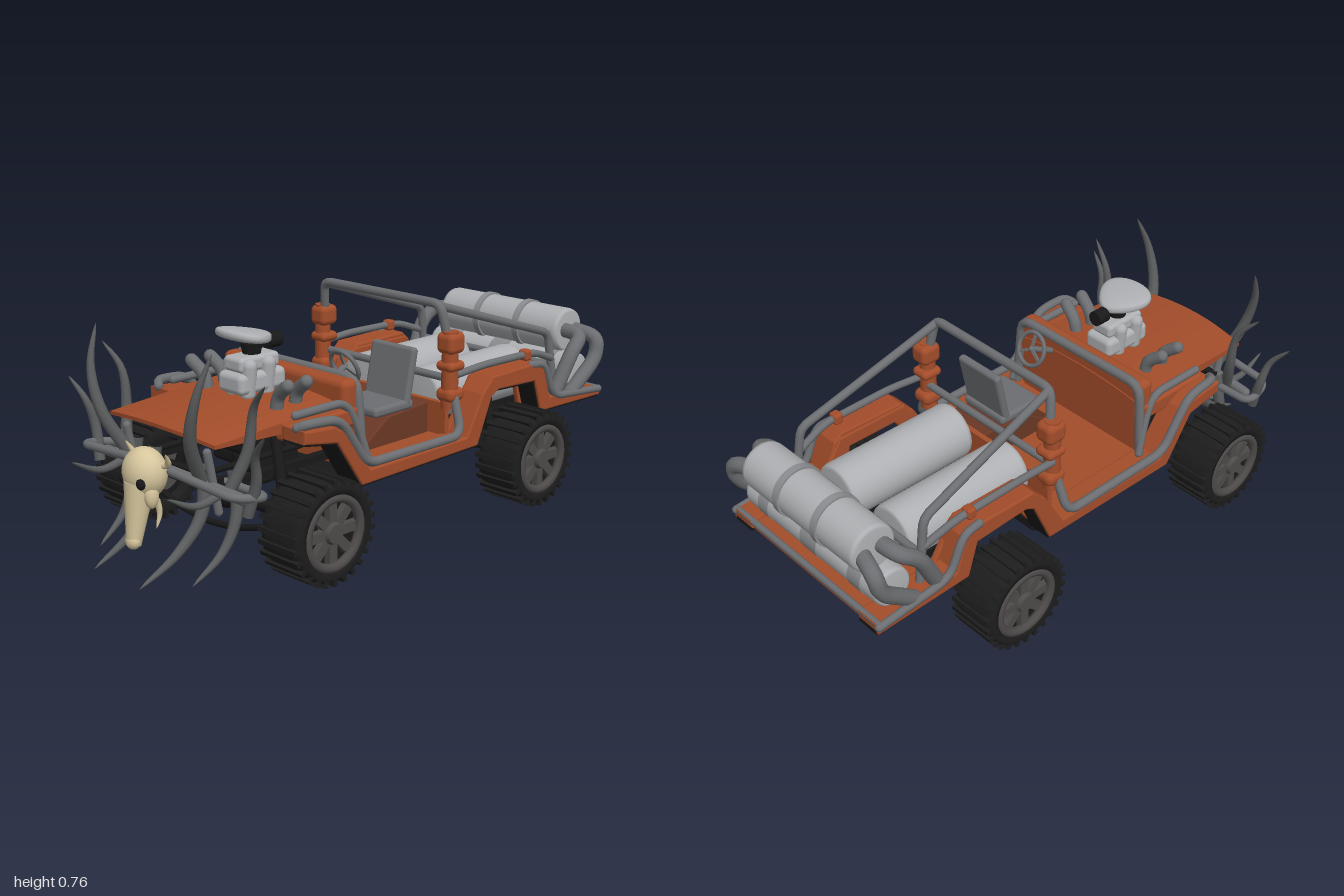
import * as THREE from 'three';
import { RoundedBoxGeometry } from 'three/addons/geometries/RoundedBoxGeometry.js';

const mat = (name, color) => Object.assign(new THREE.MeshStandardMaterial({ color }), { name });
const V = (p) => new THREE.Vector3(...p);

export function createModel() {
  const root = new THREE.Group();
  root.name = 'buggy';
  const paint = mat('rust orange paint', 0xa34d2a), steel = mat('steel tube', 0x6c6e71);
  const tank = mat('light tank metal', 0xaeb0b3), worn = mat('worn tank metal', 0x8b8d90);
  const rubber = mat('tyre rubber', 0x1d1d1d), rim = mat('wheel metal', 0x4e4a4a);
  const black = mat('chassis black', 0x191919), horn = mat('dark tusk', 0x5c5d5e);
  const bone = mat('bone', 0xd6c69d), brown = mat('dark rust', 0x6b3826);
  for (const m of [paint, rubber]) m.side = THREE.DoubleSide;

  const add = (name, geo, m, p = [0, 0, 0], r = [0, 0, 0], parent = root) => {
    const mesh = new THREE.Mesh(geo, m);
    mesh.name = name;
    mesh.position.set(...p);
    mesh.rotation.set(...r);
    parent.add(mesh);
    return mesh;
  };
  const box = (name, size, m, p, r, parent) => add(name, new THREE.BoxGeometry(...size), m, p, r, parent);
  const rbox = (name, size, rad, m, p, r) => add(name, new RoundedBoxGeometry(...size, 3, rad), m, p, r);
  const ball = (name, r, m, p, s = [1, 1, 1]) => add(name, new THREE.SphereGeometry(r, 20, 14), m, p).scale.set(...s);

  // Pipe through points with rounded corners and closed ends
  const pipe = (name, pts, r, m = steel, bend = 0.05) => {
    const P = pts.map(V), path = new THREE.CurvePath();
    let from = P[0];
    for (let i = 1; i < P.length - 1; i++) {
      const toward = (q) => P[i].clone().lerp(q, Math.min(0.45, bend / P[i].distanceTo(q)));
      const a = toward(P[i - 1]), b = toward(P[i + 1]);
      path.add(new THREE.LineCurve3(from, a));
      path.add(new THREE.QuadraticBezierCurve3(a, P[i], b));
      from = b;
    }
    path.add(new THREE.LineCurve3(from, P.at(-1)));
    add(name, new THREE.TubeGeometry(path, P.length * 12, r, 10), m);
    for (const e of [pts[0], pts.at(-1)]) add(name + 'End', new THREE.SphereGeometry(r, 10, 6), m, e);
  };

  // Curved tusk tapering to a point
  const tusk = (name, pts, r, m = horn) => {
    const curve = new THREE.CatmullRomCurve3(pts.map(V)), n = 16, k = 8;
    const geo = new THREE.TubeGeometry(curve, n, r, k), pos = geo.attributes.position, v = new THREE.Vector3();
    for (let i = 0; i < pos.count; i++) {
      const t = Math.floor(i / (k + 1)) / n, c = curve.getPointAt(t);
      v.fromBufferAttribute(pos, i).sub(c).multiplyScalar(Math.sqrt(1 - t) * (0.75 + 0.6 * t * (1 - t))).add(c);
      pos.setXYZ(i, v.x, v.y, v.z);
    }
    add(name, geo, m);
  };

  // Gas tank with slightly rounded ends, axis along y before rotation
  const gasTank = (name, r, len, p, rot) => {
    const h = len / 2, prof = [[0, -h], [r * 0.85, -h], [r * 0.96, -h + 0.006], [r, -h + 0.02],
      [r, h - 0.02], [r * 0.96, h - 0.006], [r * 0.85, h], [0, h]];
    add(name, new THREE.LatheGeometry(prof.map((q) => new THREE.Vector2(...q)), 32), tank, p, rot);
  };

  // Extruded side profile, from z0 inward by depth
  const profile = (name, pts, z0, depth, m) => {
    const shape = new THREE.Shape(pts.map((q) => new THREE.Vector2(...q)));
    add(name, new THREE.ExtrudeGeometry(shape, { depth, bevelEnabled: true, bevelSize: 0.006, bevelThickness: 0.006, bevelSegments: 2 }), m, [0, 0, z0]);
  };

  // Wheels
  const tyreProfile = [[0.118, -0.082], [0.145, -0.087], [0.158, -0.077], [0.163, -0.05], [0.163, 0.05],
    [0.158, 0.077], [0.145, 0.087], [0.118, 0.082], [0.112, 0.05], [0.112, -0.05], [0.118, -0.082]];
  for (const x of [-0.54, 0.48]) for (const s of [1, -1]) {
    const w = new THREE.Group();
    w.name = 'wheel';
    w.position.set(x, 0.172, s * 0.415);
    if (s < 0) w.rotation.y = Math.PI;
    root.add(w);
    add('tyre', new THREE.LatheGeometry(tyreProfile.map((q) => new THREE.Vector2(...q)).reverse(), 40), rubber, [0, 0, 0], [Math.PI / 2, 0, 0], w);
    for (let i = 0; i < 26; i++) {
      const a = i / 26 * Math.PI * 2;
      box('treadBlock', [0.016, 0.022, 0.165], rubber, [Math.sin(a) * 0.161, Math.cos(a) * 0.161, 0], [0, 0, -a], w);
    }
    add('rimDisc', new THREE.CylinderGeometry(0.114, 0.114, 0.1, 32), black, [0, 0, 0], [Math.PI / 2, 0, 0], w);
    add('rimRing', new THREE.TorusGeometry(0.112, 0.016, 8, 36), rim, [0, 0, 0.073], [0, 0, 0], w);
    add('innerHub', new THREE.CylinderGeometry(0.09, 0.07, 0.03, 24), rim, [0, 0, -0.06], [Math.PI / 2, 0, 0], w);
    add('hub', new THREE.CylinderGeometry(0.03, 0.05, 0.04, 16), rim, [0, 0, 0.066], [Math.PI / 2, 0, 0], w);
    for (let i = 0; i < 8; i++) {
      const a = i / 8 * Math.PI * 2;
      box('spoke', [0.032, 0.095, 0.025], rim, [Math.sin(a) * 0.065, Math.cos(a) * 0.065, 0.06], [0, 0, -a], w);
    }
  }

  // Hood: crowned wedge, narrower at the nose
  const hoodGeo = new THREE.BoxGeometry(0.6, 1, 0.56, 12, 1, 12), hp = hoodGeo.attributes.position;
  for (let i = 0; i < hp.count; i++) {
    const t = hp.getX(i) / 0.6 + 0.5, z = hp.getZ(i) * (0.93 + 0.07 * t), u = z / 0.28;
    const top = 0.478 + 0.038 * t - 0.022 * u * u;
    hp.setXYZ(i, -0.83 + 0.6 * t + 0.025 * u * u * (1 - t), hp.getY(i) > 0 ? top : top - 0.012 - 0.05 * t, z);
  }
  hoodGeo.computeVertexNormals();
  add('hood', hoodGeo, paint);
  rbox('cowl', [0.07, 0.13, 0.6], 0.025, paint, [-0.27, 0.5, 0]);
  box('firewall', [0.015, 0.24, 0.58], paint, [-0.25, 0.39, 0]);

  // Cabin floor, seat plinth and chassis
  box('floor', [0.47, 0.02, 0.6], paint, [-0.02, 0.27, 0]);
  profile('seatPlinth', [[-0.16, 0.28], [-0.02, 0.37], [0.17, 0.385], [0.17, 0.28]], 0.04, 0.18, brown);
  box('rearBulkhead', [0.02, 0.13, 0.6], paint, [0.19, 0.33, 0]);
  rbox('bellyPan', [0.62, 0.06, 0.58], 0.02, black, [-0.06, 0.22, 0]);
  for (const x of [-0.22, 0, 0.14]) rbox('bellyPlate', [0.18, 0.05, 0.4], 0.02, black, [x, 0.192, 0]);
  rbox('engineBlock', [0.15, 0.15, 0.2], 0.02, black, [-0.44, 0.38, 0]);
  rbox('gearbox', [0.2, 0.08, 0.14], 0.03, black, [-0.38, 0.27, 0]);
  box('rearSkid', [0.26, 0.03, 0.46], black, [0.46, 0.275, 0]);
  box('rearSkidCover', [0.1, 0.008, 0.12], brown, [0.41, 0.294, 0]);

  // Axles, differentials and suspension
  for (const x of [-0.54, 0.48]) {
    pipe('axle', [[x, 0.18, -0.36], [x, 0.18, 0.36]], 0.022, black);
    ball('differential', 0.06, black, [x, 0.185, 0], [1.1, 0.9, 1]);
    const o = x + (x < 0 ? -0.09 : 0.09);
    pipe('swayBar', [[o, 0.165, -0.3], [o, 0.12, -0.14], [o, 0.105, 0], [o, 0.12, 0.14], [o, 0.165, 0.3]], 0.011, black);
  }
  pipe('driveShaft', [[-0.54, 0.19, 0], [0.48, 0.19, 0]], 0.016, black);

  const bandTop = [[-0.55, 0.465], [-0.43, 0.455], [-0.38, 0.43], [-0.27, 0.28], [0.21, 0.28], [0.29, 0.42], [0.34, 0.47],
    [0.59, 0.475], [0.62, 0.45], [0.66, 0.335], [0.97, 0.315]];
  const bandBottom = [[0.97, 0.292], [0.62, 0.3], [0.58, 0.42], [0.37, 0.43], [0.33, 0.41], [0.26, 0.25], [-0.3, 0.245],
    [-0.41, 0.41], [-0.55, 0.435]];
  const linerTop = bandBottom.map(([x, y]) => [x, y - 0.004]);
  const linerBottom = bandBottom.map(([x, y]) => [x, y - 0.008]).reverse();

  for (const s of [1, -1]) {
    // Body sides and fenders with dark undersides
    profile('sidePanel', bandTop.concat(bandBottom), s > 0 ? 0.285 : -0.375, 0.09, paint);
    profile('sideLiner', linerTop.concat(linerBottom), s > 0 ? 0.285 : -0.367, 0.082, black);
    rbox('fenderShelf', [0.3, 0.06, 0.07], 0.012, paint, [-0.4, 0.445, s * 0.275]);
    profile('rearInnerWall', [[0.2, 0.28], [0.33, 0.46], [0.6, 0.46], [0.7, 0.31], [0.6, 0.31], [0.57, 0.42], [0.37, 0.42], [0.27, 0.27]], s * 0.285 - 0.005, 0.01, paint);
    box('frontChassisRail', [0.5, 0.025, 0.03], black, [-0.51, 0.3, s * 0.2]);
    box('rearChassisRail', [0.52, 0.03, 0.03], black, [0.47, 0.295, s * 0.2]);
    pipe('lowerFrontRail', [[-0.76, 0.335, s * 0.15], [-0.36, 0.335, s * 0.15]], 0.01, black);
    pipe('rearStrut', [[0.5, 0.2, s * 0.26], [0.68, 0.225, s * 0.26], [0.78, 0.29, s * 0.26]], 0.017, rim);
    box('rearHanger', [0.05, 0.09, 0.025], black, [0.55, 0.21, s * 0.19]);
    for (const x of [-0.54, 0.48]) pipe('shockAbsorber', [[x, 0.19, s * 0.27], [x + 0.03, 0.4, s * 0.2]], 0.018, black);

    // Side guard pipes
    pipe('sideGuard', [[-0.55, 0.475, s * 0.34], [-0.53, 0.49, s * 0.37], [-0.4, 0.48, s * 0.375], [-0.28, 0.305, s * 0.375],
      [0.18, 0.3, s * 0.375], [0.19, 0.43, s * 0.33]], 0.016);
    pipe('hoodRail', [[-0.52, 0.5, s * 0.3], [-0.3, 0.5, s * 0.3], [-0.25, 0.4, s * 0.31], [-0.22, 0.3, s * 0.32]], 0.014);
    pipe('rearGuard', [[0.56, 0.475, s * 0.37], [0.63, 0.47, s * 0.375], [0.69, 0.335, s * 0.375], [0.97, 0.31, s * 0.375]], 0.014);

    // Orange roll cage post with collars
    add('cagePost', new THREE.CylinderGeometry(0.028, 0.03, 0.27, 18), paint, [0.19, 0.515, s * 0.31]);
    for (const [y, h] of [[0.61, 0.075], [0.53, 0.035], [0.43, 0.05]]) rbox('postCollar', [0.08, h, 0.076], 0.022, paint, [0.195, y, s * 0.308]);
    pipe('cageBrace', [[0.17, 0.735, s * 0.272], [0.73, 0.555, s * 0.31], [0.765, 0.33, s * 0.32]], 0.015, steel, 0.03);
    pipe('cageSideRail', [[0.21, 0.5, s * 0.33], [0.34, 0.51, s * 0.335], [0.62, 0.505, s * 0.335], [0.74, 0.46, s * 0.32]], 0.013);
    rbox('braceClamp', [0.035, 0.04, 0.04], 0.01, paint, [0.57, 0.505, s * 0.335]);

    // Cargo tank
    gasTank('cargoTank', 0.1, 0.51, [0.475, 0.385, s * 0.14], [0, 0, Math.PI / 2]);

    // Rear rack hoops
    pipe('rackHoop', [[0.72, 0.32, s * 0.35], [0.8, 0.48, s * 0.37], [0.87, 0.53, s * 0.36], [0.88, 0.535, s * 0.26]], 0.027);
    pipe('rackOuterHoop', [[0.82, 0.32, s * 0.355], [0.95, 0.43, s * 0.37], [0.965, 0.51, s * 0.365], [0.94, 0.53, s * 0.26]], 0.027);

    // Exhaust stubs through the hood
    for (const x of [-0.48, -0.4]) {
      pipe('exhaustStub', [[x, 0.48, s * 0.17], [x, 0.535, s * 0.18], [x - 0.01, 0.575, s * 0.235]], 0.022, steel, 0.03);
      pipe('blowerPort', [[x, 0.51, s * 0.035], [x, 0.6, s * 0.045]], 0.026, tank);
    }

    // Front bar and tusks
    pipe('bullBarLoop', [[-0.72, 0.31, s * 0.2], [-0.72, 0.31, s * 0.4], [-0.84, 0.33, s * 0.38], [-0.85, 0.35, s * 0.1]], 0.014);
    pipe('barUpright', [[-0.75, 0.22, s * 0.2], [-0.79, 0.42, s * 0.2]], 0.014);
    tusk('tallTusk', [[-0.79, 0.32, s * 0.17], [-0.87, 0.48, s * 0.22], [-0.875, 0.62, s * 0.26], [-0.83, 0.75, s * 0.285]], 0.029);
    tusk('sideTusk', [[-0.76, 0.3, s * 0.26], [-0.715, 0.43, s * 0.3], [-0.71, 0.57, s * 0.325], [-0.73, 0.655, s * 0.4]], 0.026);
    tusk('outerTusk', [[-0.78, 0.26, s * 0.37], [-0.77, 0.37, s * 0.4], [-0.79, 0.46, s * 0.42], [-0.81, 0.535, s * 0.485]], 0.024);
    tusk('forwardTusk', [[-0.75, 0.3, s * 0.24], [-0.87, 0.28, s * 0.24], [-0.98, 0.33, s * 0.24]], 0.019);
    tusk('lowerTusk', [[-0.74, 0.36, s * 0.12], [-0.76, 0.2, s * 0.13], [-0.85, 0.09, s * 0.12], [-1, 0.012, s * 0.115]], 0.029);
    tusk('lowerSideTusk', [[-0.72, 0.36, s * 0.24], [-0.73, 0.22, s * 0.26], [-0.78, 0.11, s * 0.25], [-0.89, 0.025, s * 0.235]], 0.027);

    // Skull details
    ball('eyeSocket', 0.021, black, [-0.922, 0.315, s * 0.042], [0.7, 1, 0.8]);
    ball('cheekbone', 0.03, bone, [-0.89, 0.27, s * 0.05], [0.8, 1.4, 0.7]);
    tusk('skullHorn', [[-0.86, 0.36, s * 0.05], [-0.85, 0.37, s * 0.085], [-0.87, 0.41, s * 0.1]], 0.016, bone);
    tusk('skullFang', [[-0.86, 0.25, s * 0.035], [-0.85, 0.2, s * 0.035], [-0.86, 0.15, s * 0.03]], 0.014, bone);
  }

  // Skull
  ball('cranium', 0.075, bone, [-0.875, 0.33, 0], [0.9, 1.1, 1.05]);
  add('snout', new THREE.CylinderGeometry(0.05, 0.024, 0.2, 16), bone, [-0.912, 0.205, 0], [0, 0, -0.16]);
  ball('nose', 0.028, bone, [-0.93, 0.12, 0], [0.8, 1, 1]);
  pipe('bullBar', [[-0.77, 0.3, -0.34], [-0.79, 0.32, 0], [-0.77, 0.3, 0.34]], 0.018);
  box('frontCrossmember', [0.03, 0.04, 0.42], black, [-0.75, 0.31, 0]);

  // Supercharger and air scoop
  rbox('blower', [0.2, 0.07, 0.12], 0.02, tank, [-0.43, 0.545, 0]);
  rbox('blowerTop', [0.17, 0.05, 0.09], 0.015, tank, [-0.43, 0.605, 0]);
  add('intakeNeck', new THREE.CylinderGeometry(0.037, 0.03, 0.035, 20), black, [-0.43, 0.648, 0]);
  add('blowerPulley', new THREE.CylinderGeometry(0.027, 0.027, 0.05, 20), black, [-0.34, 0.66, 0], [0, 0, Math.PI / 2]);
  const scoopGeo = new THREE.SphereGeometry(1, 28, 16), sp = scoopGeo.attributes.position;
  for (let i = 0; i < sp.count; i++) {
    const x = sp.getX(i), y = sp.getY(i), fat = Math.sign(y) * Math.sqrt(Math.abs(y));
    sp.setXYZ(i, -0.45 + x * 0.088, 0.693 - x * 0.014 + fat * 0.021, sp.getZ(i) * 0.108 * (0.88 - 0.3 * x));
  }
  scoopGeo.computeVertexNormals();
  add('airScoop', scoopGeo, tank);

  // Windscreen hoop and roll hoop
  pipe('windscreenHoop', [[-0.235, 0.29, -0.31], [-0.24, 0.56, -0.29], [-0.24, 0.56, 0.29], [-0.235, 0.29, 0.31]], 0.017);
  pipe('rollHoop', [[0.19, 0.62, -0.298], [0.17, 0.742, -0.28], [0.17, 0.742, 0.28], [0.19, 0.62, 0.298]], 0.016, steel, 0.035);
  pipe('rollCrossbar', [[0.2, 0.48, -0.31], [0.2, 0.48, 0.31]], 0.014);
  pipe('rearCrossbar', [[0.752, 0.43, -0.31], [0.752, 0.43, 0.31]], 0.014);

  // Steering wheel, facing the seat
  pipe('steeringColumn', [[-0.24, 0.5, 0.13], [-0.135, 0.555, 0.13]], 0.011);
  const steering = new THREE.Group();
  steering.name = 'steeringWheel';
  steering.position.set(-0.135, 0.555, 0.13);
  steering.rotation.set(0, Math.PI / 2, 0.4, 'ZYX');
  root.add(steering);
  add('steeringRim', new THREE.TorusGeometry(0.06, 0.008, 8, 28), steel, [0, 0, 0], [0, 0, 0], steering);
  for (let i = 0; i < 3; i++) box('steeringSpoke', [0.01, 0.06, 0.008], steel, [Math.sin(i * 2.094) * 0.03, Math.cos(i * 2.094) * 0.03, 0], [0, 0, -i * 2.094], steering);

  // Driver seat
  rbox('seatCushion', [0.19, 0.035, 0.2], 0.014, steel, [0, 0.4, 0.135]);
  rbox('seatBack', [0.03, 0.2, 0.2], 0.013, steel, [0.085, 0.495, 0.135], [0, 0, -0.2]);

  // Rear platform with stacked cross tanks
  box('rearPlatform', [0.25, 0.022, 0.7], paint, [0.845, 0.303, 0]);
  box('platformUnderside', [0.24, 0.008, 0.69], black, [0.835, 0.288, 0]);
  box('tailPanel', [0.02, 0.05, 0.36], paint, [0.73, 0.275, 0]);
  pipe('platformEdge', [[0.965, 0.313, -0.37], [0.965, 0.313, 0.37]], 0.012);
  const across = [Math.PI / 2, 0, 0];
  gasTank('lowerRackTank', 0.068, 0.68, [0.88, 0.388, 0], across);
  gasTank('upperRackTank', 0.083, 0.57, [0.905, 0.528, -0.008], across);
  for (const z of [0.086, -0.106]) add('tankBand', new THREE.CylinderGeometry(0.09, 0.09, 0.026, 32), worn, [0.905, 0.528, z], across);
  for (const [z, w] of [[0.24, 0.05], [0, 0.08], [-0.23, 0.06]]) add('wornBand', new THREE.CylinderGeometry(0.07, 0.07, w, 32), worn, [0.88, 0.388, z], across);

  return root;
}
